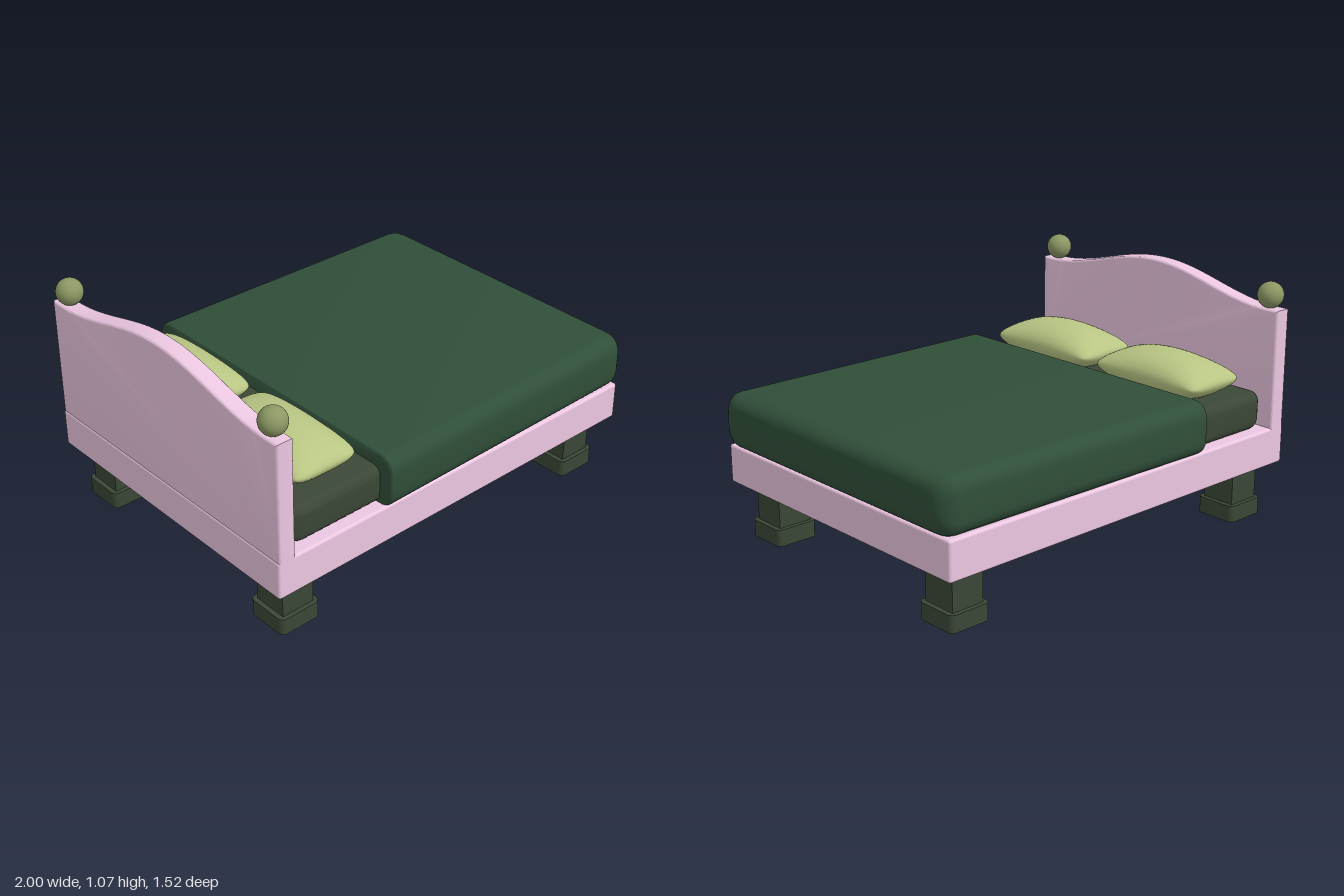
import * as THREE from 'three';
import { mergeVertices, toCreasedNormals } from 'three/addons/utils/BufferGeometryUtils.js';
import { RoundedBoxGeometry } from 'three/addons/geometries/RoundedBoxGeometry.js';

const material = (color) => new THREE.MeshStandardMaterial({ color });
const PINK = material(0xecc7e1);
const DUVET = material(0x304f39);
const DARK = material(0x3b4736);
const PILLOW = material(0xb8c583);
const KNOB = material(0x8c9864);

function add(parent, name, geometry, mat, x = 0, y = 0, z = 0) {
  const mesh = new THREE.Mesh(geometry, mat);
  mesh.name = name;
  mesh.position.set(x, y, z);
  parent.add(mesh);
}

// Rounded rectangle outline, counter-clockwise, from height b0 to b1
function roundedRect(halfWidth, b0, b1, r, steps = 6) {
  const points = [];
  const corners = [[1, b0 + r], [1, b1 - r], [-1, b1 - r], [-1, b0 + r]];
  corners.forEach(([s, b], i) => {
    for (let k = 0; k <= steps; k++) {
      const t = (i - 1 + k / steps) * Math.PI / 2;
      points.push([s * (halfWidth - r) + r * Math.cos(t), b + r * Math.sin(t)]);
    }
  });
  return points;
}

// Closed body lofted along x; each section is { x, hw, y0, y1, r }
function loft(sections) {
  const rings = sections.map((s) => roundedRect(s.hw, s.y0, s.y1, s.r));
  const n = rings[0].length;
  const last = rings.length - 1;
  const position = [];
  const index = [];
  rings.forEach((ring, i) => ring.forEach(([z, y]) => position.push(sections[i].x, y, z)));
  for (let i = 0; i < last; i++) {
    for (let j = 0; j < n; j++) {
      const a = i * n + j, b = i * n + (j + 1) % n;
      index.push(a, a + n, b, b, a + n, b + n);
    }
  }
  // End caps
  for (const i of [0, last]) {
    const s = sections[i], centre = position.length / 3;
    position.push(s.x, (s.y0 + s.y1) / 2, 0);
    for (let j = 0; j < n; j++) {
      const a = i * n + j, b = i * n + (j + 1) % n;
      if (i === 0) index.push(centre, a, b);
      else index.push(centre, b, a);
    }
  }
  const geometry = new THREE.BufferGeometry();
  geometry.setAttribute('position', new THREE.Float32BufferAttribute(position, 3));
  geometry.setIndex(index);
  return toCreasedNormals(geometry, 0.7);
}

// Slab along x whose two ends are rounded by their own radius
function softSlab({ x0, x1, hw0, hw1, y0, top0, top1, r, end0, end1, squash }) {
  const steps = 7;
  const section = (x, inset) => {
    const t = (x - x0) / (x1 - x0);
    return {
      x, r,
      hw: THREE.MathUtils.lerp(hw0, hw1, t) - inset,
      y0: y0 + inset * squash,
      y1: THREE.MathUtils.lerp(top0, top1, t) - inset * squash,
    };
  };
  const head = [], tail = [];
  for (let k = 0; k <= steps; k++) {
    const a = k / steps * Math.PI / 2;
    const along = 1 - Math.sin(a), inset = 1 - Math.cos(a);
    head.unshift(section(x0 + end0 * along, end0 * inset));
    tail.push(section(x1 - end1 * along, end1 * inset));
  }
  return loft([...head, ...tail]);
}

// Cushion: a grid box puffed up in the middle, with soft corners and waisted sides
function pillowGeometry() {
  const box = new THREE.BoxGeometry(2, 2, 2, 24, 1, 32);
  box.deleteAttribute('uv');
  box.deleteAttribute('normal');
  const p = box.attributes.position;
  for (let i = 0; i < p.count; i++) {
    const u = Math.sin(p.getX(i) * Math.PI / 2);
    const v = Math.sin(p.getZ(i) * Math.PI / 2);
    const puff = Math.pow(Math.max(0, 1 - u * u), 0.5) * Math.pow(Math.max(0, 1 - v * v), 0.55);
    const corner = 1 - 0.12 * Math.pow(u * v, 4);
    const x = 0.174 * u * corner * (1 - 0.06 * (1 - v * v));
    const z = 0.314 * v * corner * (1 - 0.05 * (1 - u * u));
    const y = p.getY(i) > 0 ? 0.1 * puff : -Math.min(0.07, 0.11 * puff);
    p.setXYZ(i, x, Math.abs(y) < 1e-6 ? 0 : y, z);
  }
  const geometry = mergeVertices(box, 1e-5);
  geometry.computeVertexNormals();
  return geometry;
}

// Headboard panel with a wave along the top
function headboardGeometry() {
  const bevel = 0.01, w = 0.73 - bevel;
  const shape = new THREE.Shape();
  shape.moveTo(-w, 0.42);
  shape.lineTo(w, 0.42);
  for (let k = 0; k <= 48; k++) {
    const z = w - 2 * w * k / 48;
    const wave = 0.5 + 0.5 * Math.cos(Math.PI * Math.min(1, Math.abs(z) / 0.67));
    shape.lineTo(z, 0.958 - bevel + 0.11 * wave);
  }
  shape.closePath();
  const geometry = new THREE.ExtrudeGeometry(shape, {
    depth: 0.08 - 2 * bevel, bevelThickness: bevel, bevelSize: bevel, bevelSegments: 3,
  });
  geometry.translate(0, 0, -0.04 + bevel);
  geometry.rotateY(Math.PI / 2);
  return toCreasedNormals(geometry, 0.6);
}

// Square foot block with rounded upright edges
function footGeometry() {
  const outline = roundedRect(0.1, -0.1, 0.1, 0.025, 4).map(([a, b]) => new THREE.Vector2(a, b));
  const geometry = new THREE.ExtrudeGeometry(new THREE.Shape(outline), { depth: 0.076, bevelEnabled: false });
  geometry.rotateX(-Math.PI / 2);
  return toCreasedNormals(geometry, 0.6);
}

export function createModel() {
  const bed = new THREE.Group();
  bed.name = 'bed';

  add(bed, 'frame', new RoundedBoxGeometry(1.96, 0.174, 1.46, 3, 0.012), PINK, -0.009, 0.334, 0);
  add(bed, 'headboard', headboardGeometry(), PINK, -0.945, 0, 0);

  add(bed, 'mattress', softSlab({
    x0: -0.905, x1: 0.9, hw0: 0.69, hw1: 0.69, y0: 0.42, top0: 0.59, top1: 0.59,
    r: 0.04, end0: 0.08, end1: 0.08, squash: 0.4,
  }), DARK);
  add(bed, 'duvet', softSlab({
    x0: -0.435, x1: 1, hw0: 0.76, hw1: 0.738, y0: 0.415, top0: 0.653, top1: 0.661,
    r: 0.068, end0: 0.012, end1: 0.08, squash: 0.75,
  }), DUVET);

  const pillow = pillowGeometry();
  const knob = new THREE.SphereGeometry(0.059, 32, 20);
  const post = new THREE.BoxGeometry(0.157, 0.19, 0.16);
  const foot = footGeometry();
  // Paired parts, mirrored across the middle of the bed
  for (const [side, s] of [['Front', 1], ['Back', -1]]) {
    add(bed, `pillow${side}`, pillow, PILLOW, -0.648, 0.655, s * 0.328);
    add(bed, `knob${side}`, knob, KNOB, -0.942, 1.014, s * 0.66);
    for (const [end, x] of [['Head', -0.832], ['Foot', 0.814]]) {
      const leg = new THREE.Group();
      leg.name = `leg${side}${end}`;
      leg.position.set(x, 0, s * 0.57);
      add(leg, 'legPost', post, DARK, 0, 0.165, 0);
      add(leg, 'legFoot', foot, DARK);
      bed.add(leg);
    }
  }
  return bed;
}
